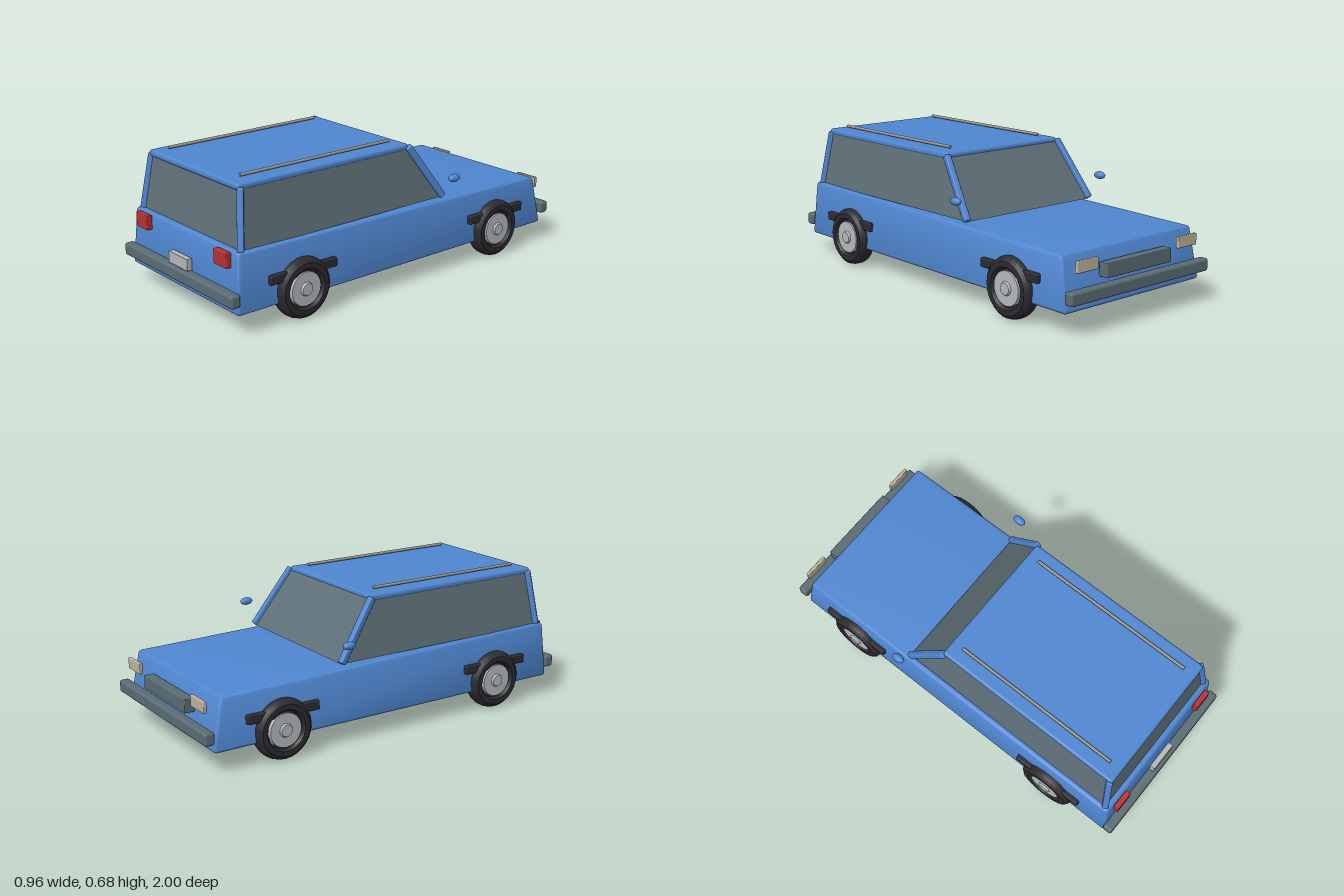
import * as THREE from 'three';
import { toCreasedNormals } from 'three/addons/utils/BufferGeometryUtils.js';
import { RoundedBoxGeometry } from 'three/addons/geometries/RoundedBoxGeometry.js';

const paint = (name, color) => {
  const m = new THREE.MeshStandardMaterial({ color });
  m.name = name;
  return m;
};

export function createModel() {
  const blue = paint('bodyBlue', 0x4f86d0);
  const glass = paint('glassGrey', 0x5f7078);
  const trim = paint('bumperGrey', 0x5a6c74);
  const rubber = paint('rubberBlack', 0x2b2b30);
  const silver = paint('silver', 0xb4b9bd);
  const red = paint('lampRed', 0xb92f2f);
  const cream = paint('lampCream', 0xbcb49c);
  const rail = paint('railGrey', 0x9c9a96);

  const car = new THREE.Group();
  car.name = 'stationWagon';

  const add = (name, geo, mat, x = 0, y = 0, z = 0, parent = car) => {
    const mesh = new THREE.Mesh(geo, mat);
    mesh.name = name;
    mesh.position.set(x, y, z);
    parent.add(mesh);
    return mesh;
  };

  // Box between two corners, with softened edges
  const block = (name, mat, [x0, x1], [y0, y1], [z0, z1], r = 0.004) =>
    add(name, new RoundedBoxGeometry(x1 - x0, y1 - y0, z1 - z0, 2, r), mat,
      (x0 + x1) / 2, (y0 + y1) / 2, (z0 + z1) / 2);

  // Rounded box tapered from a bottom outline to a top one; topY is [at zMin, at zMax]
  const taper = (botX, botZ, botY, topX, topZ, topY, r) => {
    const w = botX * 2, h = topY[1] - botY, d = botZ[1] - botZ[0];
    const geo = r ? new RoundedBoxGeometry(w, h, d, 3, r) : new THREE.BoxGeometry(w, h, d);
    const p = geo.attributes.position, lerp = THREE.MathUtils.lerp;
    for (let i = 0; i < p.count; i++) {
      const t = p.getY(i) / h + 0.5, s = p.getZ(i) / d + 0.5;
      p.setXYZ(i,
        p.getX(i) / botX * lerp(botX, topX, t),
        lerp(botY, lerp(topY[0], topY[1], s), t),
        lerp(lerp(botZ[0], topZ[0], t), lerp(botZ[1], topZ[1], t), s));
    }
    return toCreasedNormals(geo, 0.6);
  };

  // Lower body, glasshouse and roof
  add('lowerBody', taper(0.43, [-0.952, 0.962], 0.1, 0.413, [-0.905, 0.94], [0.346, 0.378], 0.016), blue);
  add('windows', taper(0.39, [-0.272, 0.914], 0.372, 0.348, [-0.08, 0.882], [0.645, 0.645], 0), glass);
  block('roof', blue, [-0.352, 0.352], [0.627, 0.66], [-0.085, 0.893], 0.014);

  // Corner pillars and roof rails
  const bar = (name, a, b, thick, wide) => {
    const from = new THREE.Vector3(...a), to = new THREE.Vector3(...b);
    const mesh = add(name, new RoundedBoxGeometry(thick, wide, from.distanceTo(to), 2, 0.007), blue);
    mesh.position.copy(from).lerp(to, 0.5);
    mesh.lookAt(to);
  };
  for (const side of [1, -1]) {
    const label = side > 0 ? 'left' : 'right';
    bar(label + 'WindscreenPillar', [side * 0.391, 0.375, -0.272], [side * 0.351, 0.648, -0.078], 0.03, 0.034);
    bar(label + 'TailPillar', [side * 0.389, 0.372, 0.912], [side * 0.348, 0.643, 0.878], 0.03, 0.03);

    const railGeo = new THREE.CylinderGeometry(0.008, 0.008, 0.85, 6).rotateX(Math.PI / 2);
    add(label + 'RoofRail', railGeo, rail, side * 0.28, 0.672, 0.405);

    const mirror = add(label + 'Mirror', new THREE.SphereGeometry(1, 12, 8), blue, side * 0.462, 0.48, -0.278);
    mirror.scale.set(0.02, 0.019, 0.034);

    // Lamps
    const span = (a, b) => side > 0 ? [a, b] : [-b, -a];
    block(label + 'TailLamp', red, span(0.267, 0.363), [0.302, 0.372], [0.943, 0.971]);
    block(label + 'HeadLamp', cream, span(0.255, 0.38), [0.274, 0.327], [-0.972, -0.955]);
  }

  // Bumpers, grille and blank plate
  block('tailBumper', trim, [-0.437, 0.437], [0.145, 0.205], [0.95, 1], 0.012);
  block('noseBumper', trim, [-0.437, 0.437], [0.145, 0.205], [-1, -0.95], 0.012);
  block('grille', trim, [-0.205, 0.205], [0.223, 0.288], [-0.975, -0.925]);
  block('plate', silver, [-0.075, 0.075], [0.208, 0.264], [0.955, 0.982], 0.002);

  // Wheels: hollow tyre ring, rim disc and hub cap
  const tyrePoints = [[0.088, -0.03], [0.098, -0.044], [0.122, -0.044], [0.138, -0.03], [0.143, -0.012],
    [0.143, 0.012], [0.138, 0.03], [0.122, 0.044], [0.098, 0.044], [0.088, 0.03], [0.088, -0.03]]
    .map(([r, y]) => new THREE.Vector2(r, y));
  const tyreGeo = toCreasedNormals(new THREE.LatheGeometry(tyrePoints, 28), 0.6);
  const rimGeo = new THREE.CylinderGeometry(0.08, 0.08, 0.06, 24);
  const capGeo = new THREE.CylinderGeometry(0.028, 0.034, 0.012, 16);
  for (const side of [1, -1]) {
    for (const z of [-0.607, 0.61]) {
      const wheel = new THREE.Group();
      wheel.name = (z < 0 ? 'nose' : 'tail') + (side > 0 ? 'Left' : 'Right') + 'Wheel';
      wheel.position.set(side * 0.414, 0.145, z);
      wheel.rotation.z = -side * Math.PI / 2;
      add('tyre', tyreGeo, rubber, 0, 0, 0, wheel);
      add('rim', rimGeo, silver, 0, 0.008, 0, wheel);
      add('hubCap', capGeo, silver, 0, 0.042, 0, wheel);
      car.add(wheel);

      // Arch trim bar behind each wheel
      const x = side > 0 ? [0.4, 0.443] : [-0.443, -0.4];
      block('archTrim', rubber, x, [0.203, 0.246], [z - 0.185, z + 0.185], 0.006);
    }
  }
  return car;
}
